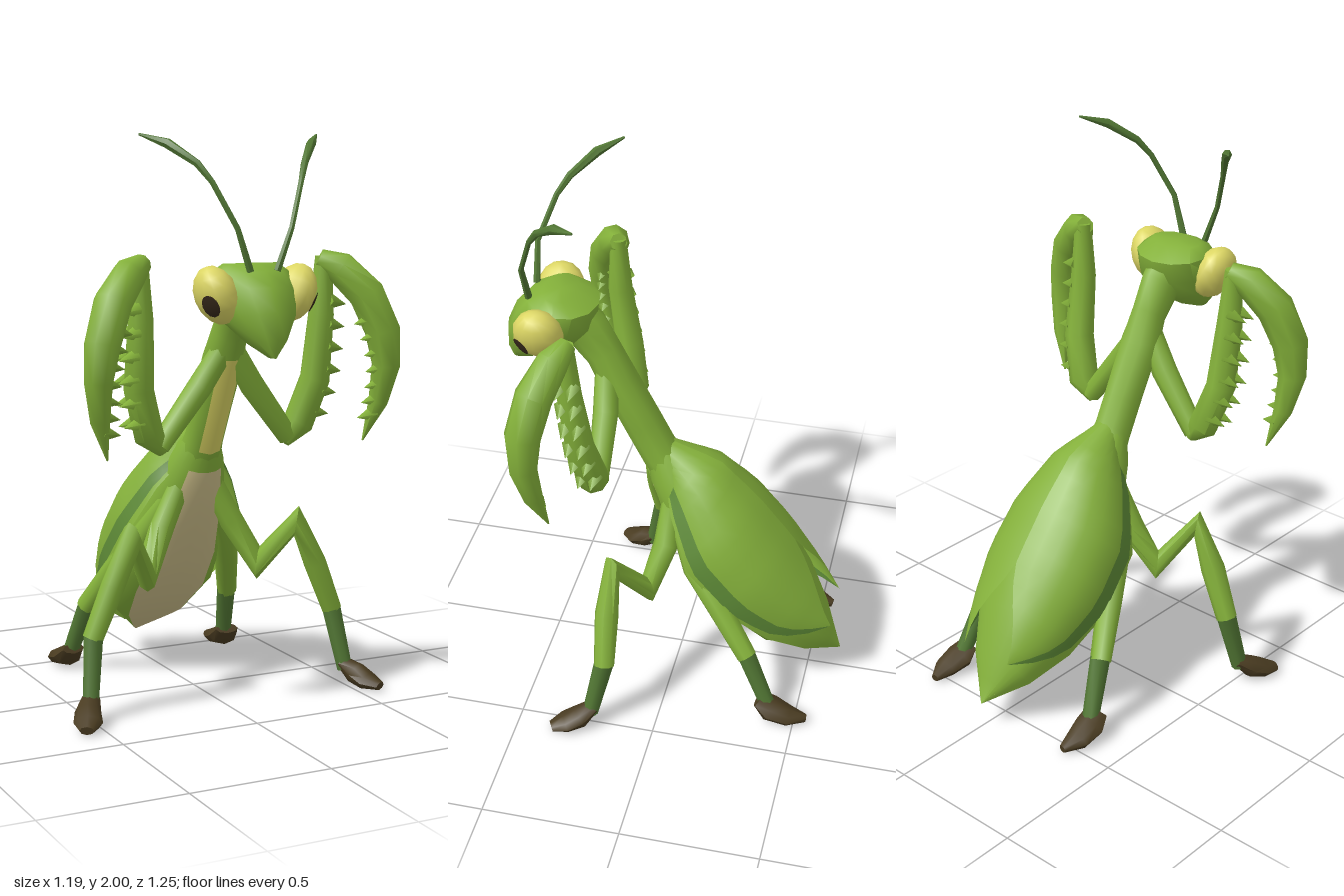
import * as THREE from 'three';
import { toCreasedNormals } from 'three/addons/utils/BufferGeometryUtils.js';

const V = (p) => new THREE.Vector3(...p);
const colour = (name, hex, side = THREE.FrontSide) => {
  const m = new THREE.MeshStandardMaterial({ color: hex, side });
  m.name = name;
  return m;
};

export function createModel() {
  const green = colour('leaf green', 0x84b13a);
  const wingGreen = colour('wing green', 0x84b03b, THREE.DoubleSide);
  const wingEdge = colour('wing edge green', 0x5c8836, THREE.DoubleSide);
  const darkGreen = colour('shank green', 0x527734);
  const tan = colour('belly tan', 0xcdbf8a);
  const yellow = colour('eye yellow', 0xdcd664);
  const pupilBrown = colour('pupil brown', 0x35281a);
  const brown = colour('foot brown', 0x4a3c21);

  const model = new THREE.Group();
  model.name = 'mantis';
  const add = (name, geo, mat, parent = model) => {
    const mesh = new THREE.Mesh(geo, mat);
    mesh.name = name;
    parent.add(mesh);
    return mesh;
  };

  // Closed skin over rings of equal length; pick(i, j) chooses a face's material index
  function loft(rings, pick = () => 0) {
    const n = rings[0].length, pts = rings.flat(), faces = [[], []];
    rings.slice(1).forEach((_, i) => {
      for (let j = 0; j < n; j++) {
        const a = i * n + j, b = i * n + (j + 1) % n;
        faces[pick(i, j)].push(a, b, a + n, b, b + n, a + n);
      }
    });
    [0, rings.length - 1].forEach((r) => {
      const c = pts.length;
      pts.push(rings[r].reduce((s, p) => s.add(p), V([0, 0, 0])).divideScalar(n));
      for (let j = 0; j < n; j++) {
        const a = r * n + j, b = r * n + (j + 1) % n;
        faces[0].push(...(r ? [c, a, b] : [c, b, a]));
      }
    });
    // Turn the skin outward when its signed volume is negative
    const all = faces.flat();
    let vol = 0;
    for (let k = 0; k < all.length; k += 3) {
      vol += pts[all[k]].dot(pts[all[k + 1]].clone().cross(pts[all[k + 2]]));
    }
    if (vol < 0) for (let k = 0; k < all.length; k += 3) [all[k], all[k + 1]] = [all[k + 1], all[k]];
    const geo = new THREE.BufferGeometry().setFromPoints(pts);
    geo.setIndex(all);
    geo.addGroup(0, faces[0].length, 0);
    if (faces[1].length) geo.addGroup(faces[0].length, faces[1].length, 1);
    return toCreasedNormals(geo, 0.95);
  }

  // Body rings: [front y, front z, back y, back z, half width]
  const bodyRings = (rows, n) => rows.map(([fy, fz, by, bz, w]) =>
    Array.from({ length: n }, (_, j) => {
      const t = (j / n) * Math.PI * 2, k = (1 + Math.cos(t)) / 2;
      return V([w * Math.sin(t), by + (fy - by) * k, bz + (fz - bz) * k]);
    }));

  // Tapered limb along points; radii are numbers or [side, depth]
  function limb(points, radii, n = 8, ref = [0, 0, 1], floor = -1) {
    const p = points.map(V);
    return loft(p.map((c, i) => {
      const d0 = c.clone().sub(p[Math.max(i - 1, 0)]).normalize();
      const d1 = p[Math.min(i + 1, p.length - 1)].clone().sub(c).normalize();
      const t = d0.clone().add(d1).normalize();
      const inner = i > 0 && i < p.length - 1;
      const mitre = inner ? Math.min(1.5, 1 / Math.sqrt(Math.max(0.1, (1 + d0.dot(d1)) / 2))) : 1;
      const a = t.clone().cross(V(ref)).normalize(), b = t.clone().cross(a);
      const [ra, rb] = [radii[i]].flat().concat(radii[i]);
      return Array.from({ length: n }, (_, j) => {
        const q = (j / n) * Math.PI * 2;
        const v = c.clone().addScaledVector(a, Math.cos(q) * ra * mitre).addScaledVector(b, Math.sin(q) * rb);
        v.y = Math.max(v.y, floor);
        return v;
      });
    }));
  }

  // Abdomen with tan belly
  add('abdomen', loft(bodyRings([
    [0.92, 0.13, 0.97, 0.03, 0.06], [0.81, 0.115, 0.9, -0.05, 0.1], [0.62, 0.035, 0.78, -0.17, 0.155],
    [0.45, -0.06, 0.62, -0.28, 0.2], [0.3, -0.18, 0.45, -0.38, 0.215], [0.18, -0.32, 0.32, -0.46, 0.17],
    [0.09, -0.51, 0.13, -0.53, 0.015]], 18),
  (i, j) => (i > 0 && (j < 2 || j > 15) ? 1 : 0)), [green, tan]);

  // Thorax and neck with yellow throat strip
  add('thorax', loft(bodyRings([
    [0.84, 0.11, 0.93, 0, 0.08], [0.88, 0.14, 0.98, 0.03, 0.07], [1.02, 0.21, 1.08, 0.08, 0.07],
    [1.23, 0.31, 1.25, 0.17, 0.075], [1.29, 0.34, 1.37, 0.225, 0.06], [1.36, 0.4, 1.48, 0.28, 0.065],
    [1.43, 0.46, 1.55, 0.36, 0.085]], 10),
  (i, j) => ((i === 1 || i === 2) && (j === 0 || j === 9) ? 1 : 0)), [green, yellow]);

  // Wedge-shaped head
  add('head', loft(bodyRings([
    [1.27, 0.615, 1.27, 0.57, 0.01], [1.33, 0.63, 1.31, 0.47, 0.065], [1.42, 0.625, 1.365, 0.375, 0.12],
    [1.5, 0.59, 1.445, 0.305, 0.148], [1.55, 0.545, 1.525, 0.295, 0.143], [1.575, 0.49, 1.568, 0.37, 0.1]], 12)), green);

  // Wing stations: [spine y, spine z, edge y, edge z, half width]
  const wing = [
    [0.975, 0.05, 0.86, 0.05, 0.06], [0.91, -0.13, 0.75, 0.01, 0.15], [0.77, -0.27, 0.57, -0.07, 0.235],
    [0.61, -0.39, 0.4, -0.22, 0.245], [0.44, -0.49, 0.27, -0.37, 0.2], [0.28, -0.56, 0.18, -0.5, 0.125],
    [0.1, -0.62, 0.1, -0.62, 0.002]];
  const crease = Math.PI / 2, flank = Math.PI / 6;
  // Domed back down to the crease, then a steep flank below it
  function wingPoint(s, t, lift) {
    const i = Math.min(Math.floor(s), 5), f = s - i;
    const [sy, sz, ey, ez, w] = wing[i].map((v, k) => v + (wing[i + 1][k] - v) * f);
    const a = Math.abs(t), low = Math.max(0, a - crease) / flank, c = low ? 0 : Math.cos(a);
    const depth = 0.7 * (1 - c) + 0.3 * low;
    const x = Math.sign(t) * (low ? 0.97 + 0.03 * low : 0.97 * Math.sin(a)) * w * (1 + 4 * lift);
    return V([x, sy + (ey - sy) * depth + lift * c, sz + (ez - sz) * depth - lift * c]);
  }
  // Open sheet; columns from edgeCol on take the second material
  function wingSheet(rows, cols, edgeCol, at) {
    const pts = [], idx = [[], []];
    for (let i = 0; i <= rows; i++) for (let j = 0; j <= cols; j++) {
      pts.push(at(i / rows, j / cols));
      if (i && j) {
        const d = i * (cols + 1) + j, b = d - cols - 1;
        idx[j > edgeCol ? 1 : 0].push(b - 1, d - 1, b, d - 1, d, b);
      }
    }
    const geo = new THREE.BufferGeometry().setFromPoints(pts);
    geo.setIndex(idx.flat());
    geo.addGroup(0, idx[0].length, 0);
    geo.addGroup(idx[0].length, idx[1].length, 1);
    return toCreasedNormals(geo, 0.5);
  }
  const wingMats = [wingGreen, wingEdge];
  add('hindwings', wingSheet(12, 16, 16, (u, v) => wingPoint(u * 6, (v * 2 - 1) * (crease + flank), 0)), wingMats);

  for (const s of [1, -1]) {
    const side = new THREE.Group();
    side.name = s > 0 ? 'leftSide' : 'rightSide';
    model.add(side);
    const m = (pts) => pts.map(([x, y, z]) => [x * s, y, z]);

    // Forewing, parting from the middle towards a pointed tip, with a darker flank
    add('forewing', wingSheet(14, 8, 6, (u, v) => {
      const st = u * 4.9, taper = Math.max(0, (st - 3.6) / 1.3) ** 2;
      const inner = 0.9 * Math.max(0, (st - 3.2) / 1.7) ** 1.3;
      const bend = crease - (crease - 0.9) * taper, outer = bend + flank * 0.75 * (1 - taper);
      const t = v <= 0.75 ? inner + (bend - inner) * (v / 0.75) : bend + (outer - bend) * (v - 0.75) * 4;
      const p = wingPoint(st, t, 0.008 + 0.008 * u);
      p.x *= s;
      p.z -= 0.045 * u ** 4;
      p.y += 0.02 * u ** 4;
      return p;
    }), wingMats, side);

    // Eye with pupil cap
    const eye = new THREE.Group();
    eye.name = 'eye';
    eye.position.set(0.145 * s, 1.472, 0.472);
    eye.rotation.z = -0.4 * s;
    eye.scale.set(0.07, 0.102, 0.09);
    side.add(eye);
    add('eyeball', new THREE.SphereGeometry(1, 12, 8), yellow, eye);
    const pupil = add('pupil', new THREE.SphereGeometry(1.04, 12, 4, 0, Math.PI * 2, 0, 0.39), pupilBrown, eye);
    pupil.quaternion.setFromUnitVectors(V([0, 1, 0]), V([0.8 * s, -0.12, 0.58]).normalize());

    // Antenna
    add('antenna', limb(m([[0.05, 1.55, 0.53], [0.1, 1.69, 0.535], [0.165, 1.84, 0.48], [0.2, 1.9, 0.44],
      [0.27, 1.965, 0.36], [0.335, 1.995, 0.28]]), [0.013, 0.01, 0.01, 0.013, 0.017, 0.004], 6), darkGreen, side);

    // Grasping arm: upper arm, spiny forearm and hooked blade
    add('upperArm', limb(m([[0.01, 1.28, 0.27], [0.1, 1.14, 0.255], [0.25, 0.945, 0.25]]), [0.042, 0.046, 0.038]), green, side);
    const fore = m([[0.235, 0.925, 0.25], [0.29, 0.99, 0.25], [0.34, 1.15, 0.28], [0.345, 1.38, 0.31], [0.35, 1.58, 0.315]]);
    add('forearm', limb(fore, [0.022, 0.055, 0.054, 0.046, 0.03]), green, side);
    const hook = m([[0.335, 1.575, 0.31], [0.4, 1.54, 0.345], [0.48, 1.45, 0.39], [0.53, 1.32, 0.42], [0.545, 1.2, 0.42],
      [0.53, 1.07, 0.395], [0.49, 0.93, 0.36]]);
    add('hookBlade', limb(hook, [0.032, 0.058, 0.066, 0.063, 0.05, 0.035, 0.003]), green, side);

    const spines = (name, path, from, to, count, dir, reach, dz) => {
      const curve = new THREE.CatmullRomCurve3(path.map(V));
      for (let i = 0; i < count; i++) {
        const u = i / (count - 1), p = curve.getPointAt(from + (to - from) * u);
        const d = V([dir * s, -0.2, 0]).normalize();
        const cone = add(name, new THREE.ConeGeometry(0.03, 0.07, 4), green, side);
        cone.quaternion.setFromUnitVectors(V([0, 1, 0]), d);
        cone.position.copy(p).addScaledVector(d, reach(u));
        cone.position.z += dz;
      }
    };
    for (const dz of [-0.022, 0.022]) spines('forearmSpine', fore, 0.2, 0.78, 6, 1, () => 0.052, dz);
    spines('hookSpine', hook, 0.4, 0.86, 7, -1, (u) => 0.066 - 0.03 * u, 0);

    // Middle leg
    add('middleLeg', limb(m([[0.06, 0.77, 0.02], [0.14, 0.61, 0.03], [0.225, 0.455, 0.08], [0.325, 0.62, 0.185],
      [0.4, 0.46, 0.19], [0.475, 0.28, 0.185]]), [0.04, 0.046, 0.041, 0.037, 0.044, 0.038]), green, side);
    add('middleShank', limb(m([[0.472, 0.29, 0.185], [0.505, 0.06, 0.235]]), [0.036, 0.029]), darkGreen, side);
    add('middleFoot', limb(m([[0.5, 0.085, 0.225], [0.53, 0.05, 0.27], [0.55, 0.03, 0.32], [0.575, 0.02, 0.368]]),
      [[0.032, 0.02], [0.045, 0.04], [0.05, 0.03], [0.025, 0.015]], 8, [0, 1, 0], 0.003), brown, side);

    // Hind leg
    add('hindLeg', limb(m([[0.08, 0.72, 0], [0.17, 0.54, -0.09], [0.23, 0.42, -0.19], [0.295, 0.26, -0.31]]),
      [0.04, 0.05, 0.045, 0.038]), green, side);
    add('hindShank', limb(m([[0.29, 0.27, -0.305], [0.325, 0.06, -0.4]]), [0.036, 0.03]), darkGreen, side);
    add('hindFoot', limb(m([[0.325, 0.085, -0.365], [0.33, 0.05, -0.41], [0.335, 0.03, -0.48], [0.325, 0.02, -0.545]]),
      [[0.045, 0.02], [0.058, 0.04], [0.048, 0.03], [0.015, 0.015]], 8, [0, 1, 0], 0.003), brown, side);
  }
  return model;
}
